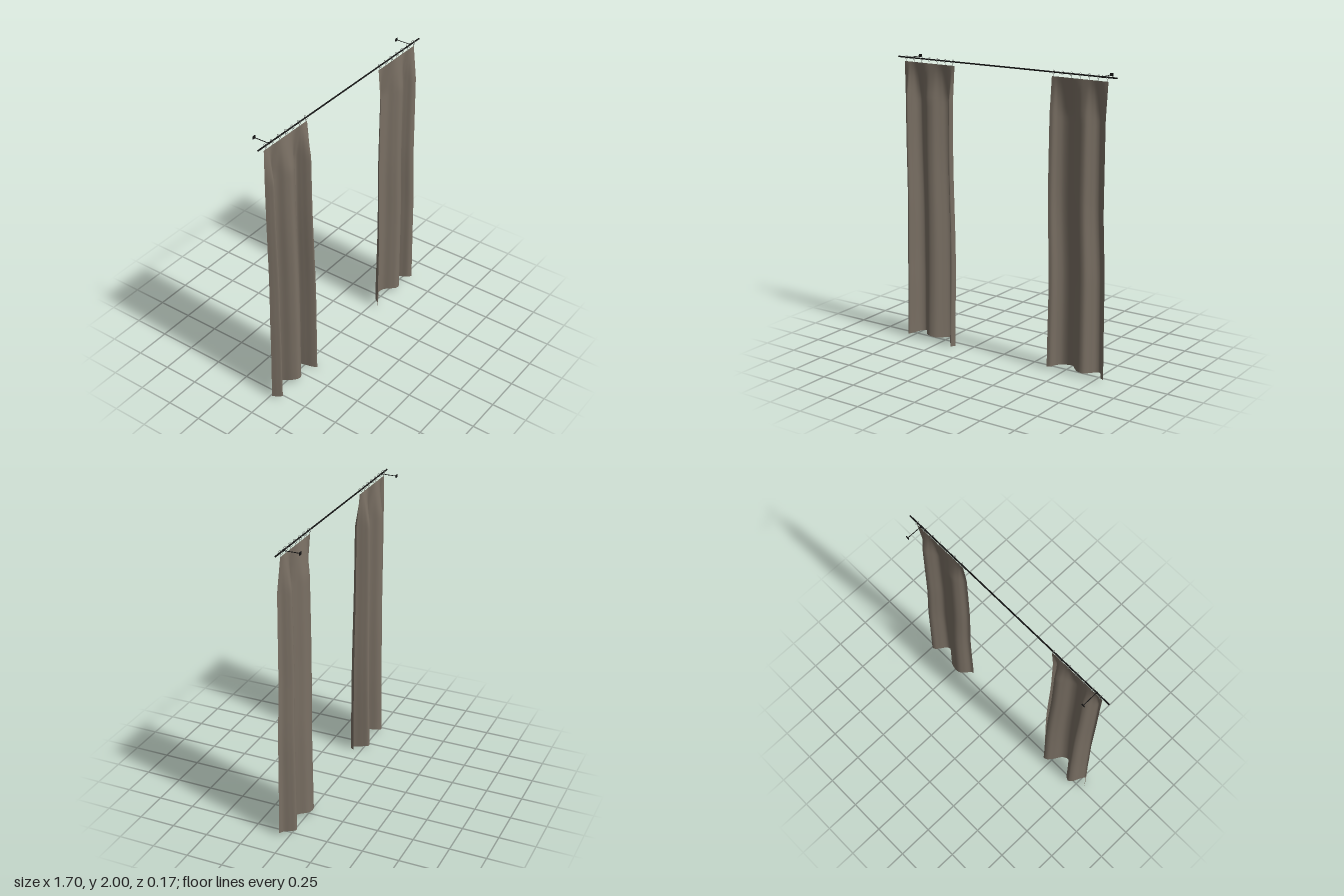
import * as THREE from 'three';

const ROD_Y = 1.985, ROD_Z = 0.024, TOP = 1.958;

const cloth = new THREE.MeshStandardMaterial({ color: 0x7a7064, side: THREE.DoubleSide });
const black = new THREE.MeshStandardMaterial({ color: 0x141414 });
const metal = new THREE.MeshStandardMaterial({ color: 0x858a84 });

function add(parent, name, geometry, material, x = 0, y = 0, z = 0) {
  const mesh = new THREE.Mesh(geometry, material);
  mesh.name = name;
  mesh.position.set(x, y, z);
  parent.add(mesh);
  return mesh;
}

// Smooth function through [key, value] pairs with ascending keys
function ramp(pairs) {
  return k => {
    let i = 0;
    while (i < pairs.length - 2 && k > pairs[i + 1][0]) i++;
    const [a, va] = pairs[i], [b, vb] = pairs[i + 1];
    const t = THREE.MathUtils.clamp((k - a) / (b - a), 0, 1);
    return va + (vb - va) * t * t * (3 - 2 * t);
  };
}

// How far the folds open: flat at the heading, widest at the hem
function foldDepth(y) {
  if (y > 1.72) return 0.68 * (TOP - y) / (TOP - 1.72);
  return 0.68 + 0.32 * (1.72 - y) / 1.72;
}

// Hanging sheet: the hem fold line is swept upward and flattened
function curtainGeometry(folds, leftEdge, rightEdge, hem) {
  const nu = 96, nv = 60;
  const curve = new THREE.CatmullRomCurve3(folds.map(([x, z]) => new THREE.Vector3(x, 0, z)));
  const x0 = folds[0][0], x1 = folds[folds.length - 1][0];
  const geometry = new THREE.PlaneGeometry(1, 1, nu, nv);
  const pos = geometry.attributes.position;
  for (let i = 0; i < pos.count; i++) {
    const u = pos.getX(i) + 0.5, v = pos.getY(i) + 0.5;
    const p = curve.getPoint(u);
    const s = (p.x - x0) / (x1 - x0);
    const low = hem(s);
    const y = low + (TOP - low) * v;
    const x = THREE.MathUtils.lerp(leftEdge(y), rightEdge(y), s);
    pos.setXYZ(i, x, y, ROD_Z + (p.z - ROD_Z) * foldDepth(y));
  }
  geometry.computeVertexNormals();
  return geometry;
}

export function createModel() {
  const model = new THREE.Group();
  model.name = 'curtains';

  // Rod with end caps
  add(model, 'rod', new THREE.CylinderGeometry(0.005, 0.005, 1.7, 16), black, 0, ROD_Y, ROD_Z)
    .rotation.z = Math.PI / 2;

  // Wall brackets
  for (const side of [-1, 1]) {
    const bracket = new THREE.Group();
    bracket.name = side > 0 ? 'leftBracket' : 'rightBracket';
    bracket.position.set(side * 0.748, ROD_Y, 0);
    add(bracket, 'bracketArm', new THREE.CylinderGeometry(0.0025, 0.0025, 0.112, 10), black, 0, 0, -0.032)
      .rotation.x = Math.PI / 2;
    add(bracket, 'wallPlate', new THREE.BoxGeometry(0.022, 0.02, 0.004), black, 0, 0, -0.088);
    add(bracket, 'rodClamp', new THREE.CylinderGeometry(0.007, 0.007, 0.01, 14), black, 0, 0, ROD_Z)
      .rotation.z = Math.PI / 2;
    model.add(bracket);
  }

  // Right panel, on the -x side
  add(model, 'rightCurtain', curtainGeometry(
    [[-0.805, 0.02], [-0.785, 0.055], [-0.765, 0.078], [-0.742, 0.04], [-0.715, -0.015], [-0.69, -0.031],
      [-0.66, -0.012], [-0.625, 0.05], [-0.588, 0.08], [-0.545, 0.065], [-0.505, 0.01], [-0.475, -0.026],
      [-0.448, -0.032], [-0.428, 0.01], [-0.41, 0.06], [-0.393, 0.085], [-0.372, 0.055]],
    ramp([[0, -0.808], [0.5, -0.8], [1, -0.793], [1.5, -0.797], [1.96, -0.797]]),
    ramp([[0, -0.372], [0.6, -0.365], [1.4, -0.381], [1.96, -0.38]]),
    ramp([[0, 0.012], [0.25, 0.024], [0.48, 0.042], [0.7, 0.022], [1, 0]])), cloth);

  // Left panel, on the +x side
  add(model, 'leftCurtain', curtainGeometry(
    [[0.378, 0.055], [0.4, 0.045], [0.425, 0.008], [0.455, -0.018], [0.495, -0.024], [0.54, -0.012],
      [0.58, 0.03], [0.615, 0.058], [0.655, 0.055], [0.69, 0.01], [0.715, -0.02], [0.738, -0.026],
      [0.762, 0.005], [0.785, 0.045], [0.812, 0.062]],
    ramp([[0, 0.379], [0.6, 0.386], [1.2, 0.373], [1.96, 0.379]]),
    ramp([[0, 0.815], [0.6, 0.81], [1.2, 0.79], [1.96, 0.789]]),
    ramp([[0, 0.012], [0.2, 0.022], [0.45, 0.034], [0.75, 0.022], [1, 0.018]])), cloth);

  // Rings around the rod, with small hooks down to the cloth
  const ringGeometry = new THREE.TorusGeometry(0.0125, 0.0015, 8, 24);
  const hookGeometry = new THREE.CylinderGeometry(0.0015, 0.0015, 0.018, 8);
  for (const side of [-1, 1]) {
    for (let i = 0; i < 7; i++) {
      const x = side * (0.393 + i * 0.0648);
      add(model, 'ring', ringGeometry, metal, x, ROD_Y, ROD_Z).rotation.y = Math.PI / 2;
      add(model, 'hook', hookGeometry, metal, x, 1.963, ROD_Z);
    }
  }
  return model;
}
